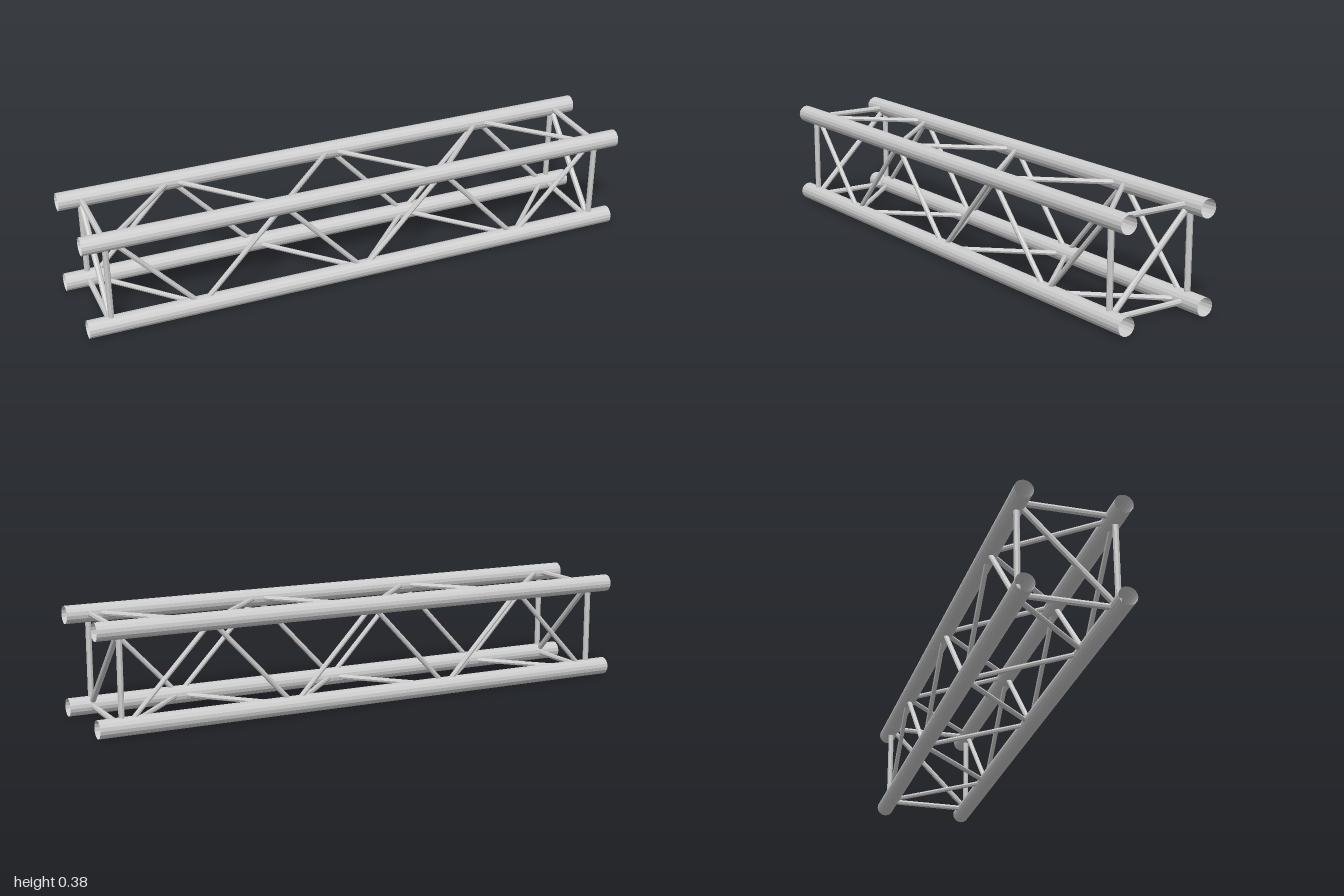
import * as THREE from 'three';

export function createModel() {
  const group = new THREE.Group();
  const metal = new THREE.MeshStandardMaterial({ color: 0xcccccc, flatShading: true, side: THREE.DoubleSide });
  metal.name = 'aluminium';

  const HALF = 0.16, MID = 0.1925; // chord offset from the beam axis, axis height
  const CHORD_R = 0.0315, STRUT_R = 0.0105, LACE_R = 0.009;
  const PANEL = 0.3, PANELS = 6, END_X = 0.918;

  // Corner position: sy and sz are -1 or +1
  const corner = (x, sy, sz) => new THREE.Vector3(x, MID + sy * HALF, sz * HALF);

  // Round bar from a to b
  function bar(name, a, b, radius, sides, open) {
    const dir = b.clone().sub(a);
    const mesh = new THREE.Mesh(new THREE.CylinderGeometry(radius, radius, dir.length(), sides, 1, open), metal);
    mesh.position.copy(a).lerp(b, 0.5);
    mesh.quaternion.setFromUnitVectors(new THREE.Vector3(0, 1, 0), dir.normalize());
    mesh.name = name;
    group.add(mesh);
  }

  const corners = [[1, 1], [1, -1], [-1, -1], [-1, 1]];
  corners.forEach(([sy, sz], i) => {
    const [ny, nz] = corners[(i + 1) % 4];

    // Main chords: open hollow tubes
    bar('chordTube', corner(-1, sy, sz), corner(1, sy, sz), CHORD_R, 16, true);

    // Square end frames
    for (const x of [-END_X, END_X]) {
      bar('endStrut', corner(x, sy, sz), corner(x, ny, nz), STRUT_R, 8, false);
    }

    // Zigzag lacing along each face; even nodes touch the front-top and back-bottom chords
    for (let p = 0; p < PANELS; p++) {
      const x0 = (p - PANELS / 2) * PANEL, x1 = x0 + PANEL;
      const startsHere = (sy * sz > 0) === (p % 2 === 0);
      const from = startsHere ? [sy, sz] : [ny, nz];
      const to = startsHere ? [ny, nz] : [sy, sz];
      bar('lacingStrut', corner(x0, ...from), corner(x1, ...to), LACE_R, 8, false);
    }
  });

  // Diagonal brace across each end frame
  for (const x of [-END_X, END_X]) {
    bar('endBrace', corner(x, -1, 1), corner(x, 1, -1), STRUT_R, 8, false);
  }

  return group;
}
